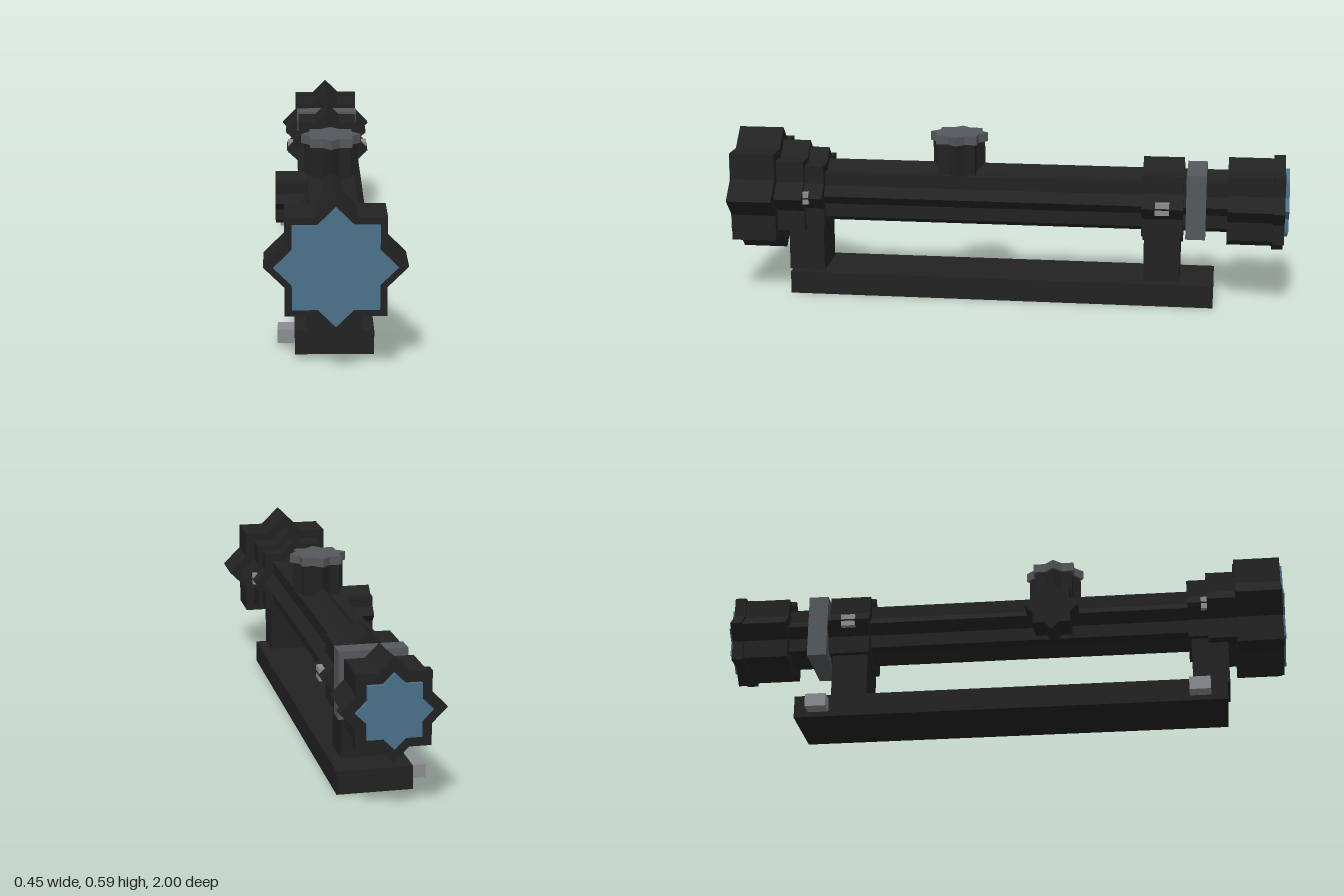
import * as THREE from 'three';

const mat = (name, color) => {
  const m = new THREE.MeshStandardMaterial({ color });
  m.name = name;
  return m;
};

export function createModel() {
  const model = new THREE.Group();
  model.name = 'telescopicSight';
  const black = mat('matteBlack', 0x222222);
  const grey = mat('darkGrey', 0x55585b);
  const steel = mat('lightGrey', 0x8a8d91);
  const glass = mat('lensBlue', 0x4a728a);
  const AXIS_Y = 0.363;

  // Eight-pointed star prism along z, from z = 0 to z = length
  const starPrism = (radius, length) => {
    const pts = [];
    for (let i = 0; i < 16; i++) {
      const r = i % 2 ? radius * 0.765 : radius;
      const a = (i * Math.PI) / 8;
      pts.push(new THREE.Vector2(Math.cos(a) * r, Math.sin(a) * r));
    }
    return new THREE.ExtrudeGeometry(new THREE.Shape(pts), { depth: length, bevelEnabled: false });
  };
  const add = (name, geometry, material) => {
    const mesh = new THREE.Mesh(geometry, material);
    mesh.name = name;
    model.add(mesh);
    return mesh;
  };
  const barrel = (name, radius, z0, z1, material = black) =>
    add(name, starPrism(radius, z1 - z0), material).position.set(0, AXIS_Y, z0);
  const box = (name, x0, x1, y0, y1, z0, z1, material = black) =>
    add(name, new THREE.BoxGeometry(x1 - x0, y1 - y0, z1 - z0), material)
      .position.set((x0 + x1) / 2, (y0 + y1) / 2, (z0 + z1) / 2);

  // Sight body, front to back
  barrel('frontLens', 0.194, 0.98, 1, glass);
  barrel('objectiveBell', 0.226, 0.83, 0.992);
  barrel('objectiveStep', 0.181, 0.73, 0.83);
  barrel('mainTube', 0.115, -0.79, 0.74);
  box('zoomCollar', -0.116, 0.116, AXIS_Y - 0.116, AXIS_Y + 0.116, -0.71, -0.64, grey);
  barrel('eyepiece', 0.161, -0.945, -0.785);
  barrel('eyepieceRim', 0.174, -0.985, -0.945);
  barrel('rearLens', 0.125, -1, -0.98, glass);

  // Elevation turret with cap, and side turret
  const upright = (name, radius, y0, y1, material) => {
    const m = add(name, starPrism(radius, y1 - y0), material);
    m.rotation.x = -Math.PI / 2;
    m.position.set(0, y0, 0.182);
  };
  upright('topTurret', 0.094, 0.445, 0.558, black);
  upright('topTurretCap', 0.104, 0.558, 0.59, grey);
  const side = add('sideTurret', starPrism(0.094, 0.114), black);
  side.rotation.y = -Math.PI / 2;
  side.position.set(-0.08, AXIS_Y, 0.182);

  // Base rail
  box('baseRail', -0.129, 0.129, 0, 0.081, -0.743, 0.787);

  // Mount rings, posts and ring screws
  for (const z of [0.734, -0.557]) {
    barrel('mountRing', 0.156, z - 0.073, z + 0.073);
    box('mountPost', -0.088, 0.088, 0.08, 0.28, z - 0.064, z + 0.064);
    for (const s of [-1, 1]) {
      const x = s * 0.138;
      box('ringScrew', x - 0.015, x + 0.015, AXIS_Y - 0.022, AXIS_Y + 0.022, z - 0.025, z + 0.025, steel);
    }
  }

  // Clamp knobs on the rail's side
  for (const z of [0.692, -0.656])
    box('clampKnob', -0.185, -0.125, 0.018, 0.065, z - 0.037, z + 0.037, steel);

  return model;
}
